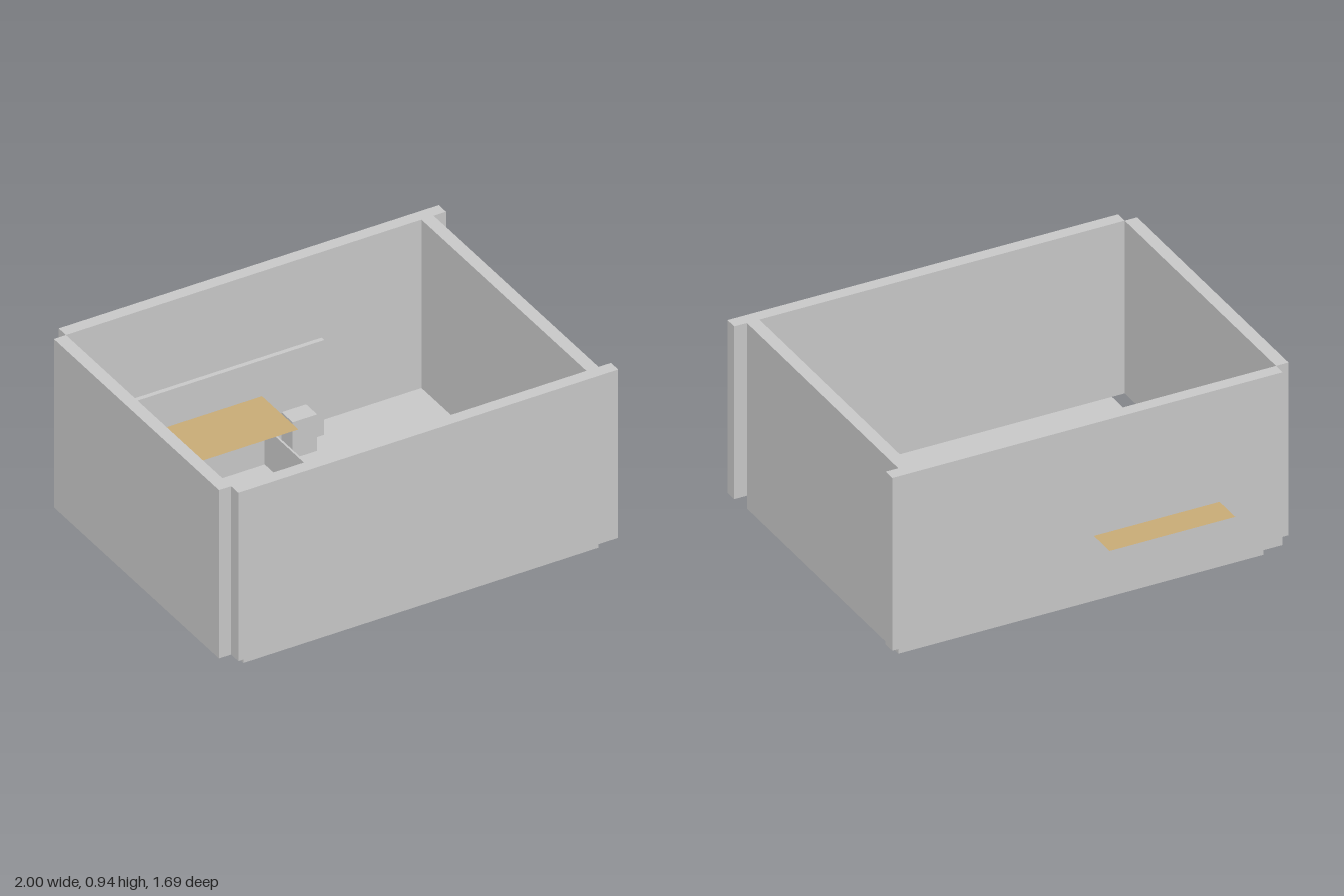
import * as THREE from 'three';

export function createModel() {
  const model = new THREE.Group();
  model.name = 'openBox';

  const grey = new THREE.MeshStandardMaterial({ color: 0xc8c8c8 });
  grey.name = 'light grey';
  const tan = new THREE.MeshStandardMaterial({ color: 0xc8ab76, side: THREE.DoubleSide });
  tan.name = 'tan';

  // box given by its extents on each axis
  function block(name, [x0, x1], [y0, y1], [z0, z1], parent = model) {
    const mesh = new THREE.Mesh(new THREE.BoxGeometry(x1 - x0, y1 - y0, z1 - z0), grey);
    mesh.position.set((x0 + x1) / 2, (y0 + y1) / 2, (z0 + z1) / 2);
    mesh.name = name;
    parent.add(mesh);
    return mesh;
  }

  // outer panels
  const wallY = [0.065, 0.945];
  const innerZ = [-0.635, 0.78];
  block('floorPanel', [-0.875, 0.937], [0, 0.065], innerZ);
  block('frontWall', [-0.938, 1], wallY, [0.78, 0.842]);
  block('backWall', [-0.938, 1], wallY, [-0.697, -0.635]);
  block('rightWall', [-1, -0.938], wallY, innerZ);
  block('leftWall', [0.875, 0.937], wallY, innerZ);

  // upright divider and the two blocks that hold it
  block('dividerBoard', [-0.938, 0.317], [0.065, 0.56], [-0.553, -0.53]);
  for (const x of [-0.845, 0.1]) {
    block('supportBlock', [x, x + 0.125], [0.065, 0.255], [-0.558, -0.435]);
  }

  // small thin-walled tray
  const tray = new THREE.Group();
  tray.name = 'tray';
  model.add(tray);
  const [x0, x1, z0, z1, t] = [-0.597, -0.027, -0.455, 0.115, 0.01];
  const trayY = [0.065, 0.272];
  for (const x of [x0, x1 - t]) block('traySide', [x, x + t], trayY, [z0, z1], tray);
  for (const z of [z0, z1 - t]) block('trayEnd', [x0 + t, x1 - t], trayY, [z, z + t], tray);
  block('trayFloor', [x0 + t, x1 - t], [0.065, 0.075], [z0 + t, z1 - t], tray);

  // flat sheet passing through the back wall
  const sheet = new THREE.Mesh(new THREE.PlaneGeometry(0.625, 0.625).rotateX(-Math.PI / 2), tan);
  sheet.position.set(-0.3125, 0.372, -0.531);
  sheet.name = 'slidingSheet';
  model.add(sheet);

  return model;
}
